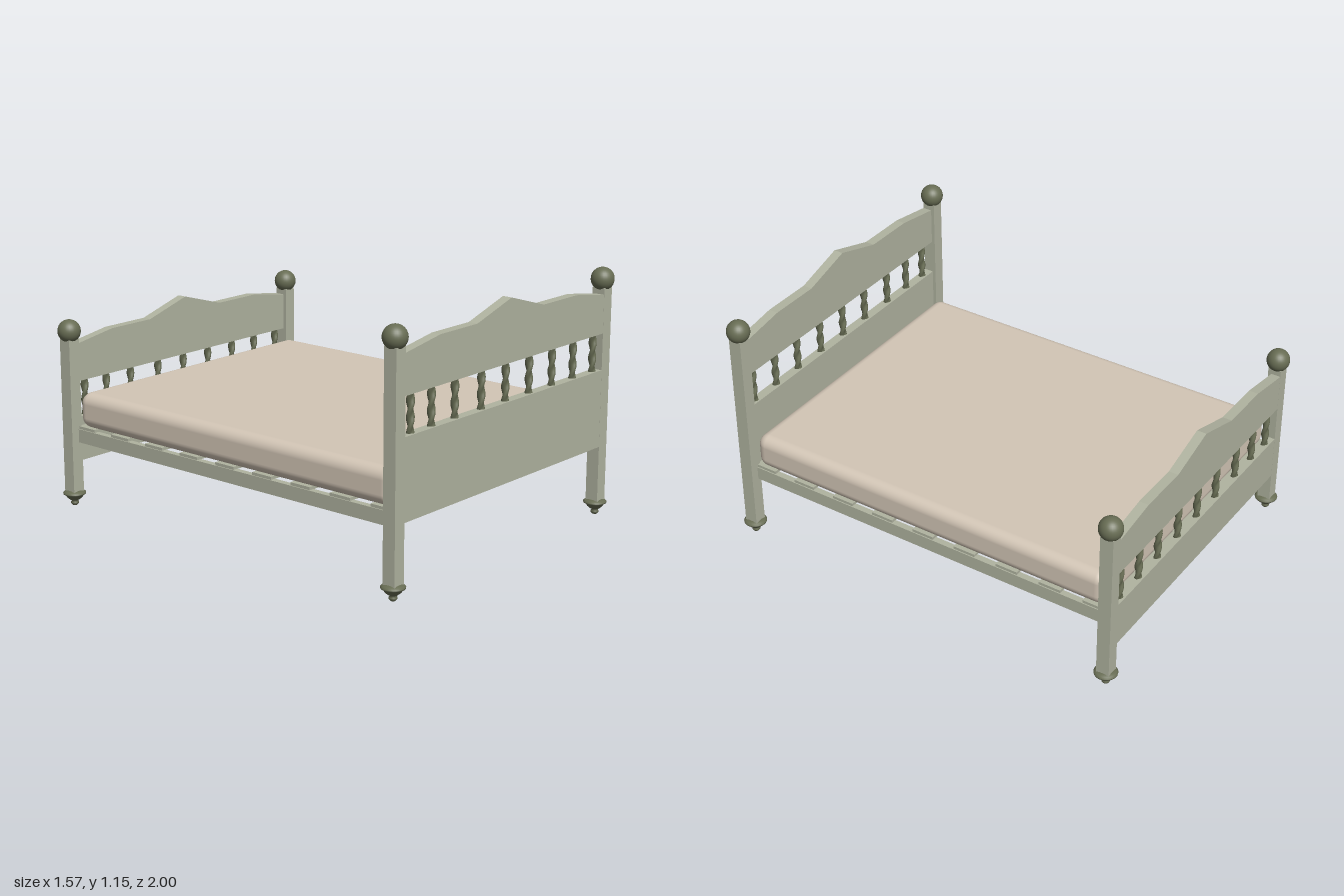
import * as THREE from 'three';
import { RoundedBoxGeometry } from 'three/addons/geometries/RoundedBoxGeometry.js';

export function createModel() {
  const bed = new THREE.Group();
  bed.name = 'bed';
  const paint = new THREE.MeshStandardMaterial({ color: 0xb0b3a0 });
  paint.name = 'sage paint';
  const dark = new THREE.MeshStandardMaterial({ color: 0x686d54 });
  dark.name = 'dark olive';
  const fabric = new THREE.MeshStandardMaterial({ color: 0xd3c6b6 });
  fabric.name = 'beige fabric';

  const add = (parent, name, geometry, material, x = 0, y = 0, z = 0) => {
    const mesh = new THREE.Mesh(geometry, material);
    mesh.name = name;
    mesh.position.set(x, y, z);
    parent.add(mesh);
    return mesh;
  };
  // Box given by its centre x and z and its bottom and top heights
  const box = (parent, name, w, d, y0, y1, x, z) =>
    add(parent, name, new THREE.BoxGeometry(w, y1 - y0, d), paint, x, (y0 + y1) / 2, z);

  // Twisted spindle: two lobes wound around a cylinder
  const spindleGeo = new THREE.CylinderGeometry(1, 1, 0.18, 16, 36, true);
  const p = spindleGeo.attributes.position;
  for (let i = 0; i < p.count; i++) {
    const a = Math.atan2(p.getZ(i), p.getX(i));
    const r = 0.0145 + 0.0035 * Math.cos(2 * a + p.getY(i) * 88);
    p.setXYZ(i, Math.cos(a) * r, p.getY(i), Math.sin(a) * r);
  }
  spindleGeo.computeVertexNormals();

  const ballGeo = new THREE.SphereGeometry(0.053, 28, 20);

  // Turned foot: small ball, flared cup and flange
  const footGeo = new THREE.LatheGeometry([
    [0, 0], [0.011, 0.002], [0.018, 0.010], [0.018, 0.017], [0.013, 0.024],
    [0.022, 0.028], [0.036, 0.040], [0.042, 0.052], [0.052, 0.056],
    [0.053, 0.062], [0.046, 0.068], [0.032, 0.074], [0, 0.074],
  ].map(([x, y]) => new THREE.Vector2(x, y)), 28);

  // Crested top rail outline, heights relative to the rail's bottom
  const crest = new THREE.Shape([
    [-0.71, 0], [0.71, 0], [0.71, 0.174], [0.48, 0.21], [0.235, 0.21],
    [0, 0.28], [-0.235, 0.21], [-0.48, 0.21], [-0.71, 0.174],
  ].map(([x, y]) => new THREE.Vector2(x, y)));
  const crestGeo = new THREE.ExtrudeGeometry(crest, { depth: 0.045, bevelEnabled: false });
  crestGeo.translate(0, 0, -0.0225);

  // One bed end: posts, feet, balls, crest, spindles and lower panel
  const makeEnd = (name, side, ballY, panelBottom) => {
    const end = new THREE.Group();
    end.name = name;
    const z = side * 0.947;
    const boardZ = side * 0.955;
    const railY = ballY - 0.24;
    const panelTop = railY - 0.168;
    for (const s of [-1, 1]) {
      const x = s * 0.73;
      box(end, 'post', 0.06, 0.062, 0.068, ballY - 0.035, x, z);
      add(end, 'postBall', ballGeo, dark, x, ballY, z);
      add(end, 'foot', footGeo, dark, x, 0, z);
    }
    add(end, 'crestRail', crestGeo, paint, 0, railY, boardZ);
    box(end, 'lowerPanel', 1.42, 0.045, panelBottom, panelTop, 0, boardZ);
    for (const x of [-0.64, -0.505, -0.35, -0.17, 0, 0.17, 0.34, 0.5, 0.655]) {
      add(end, 'spindle', spindleGeo, dark, x, (railY + panelTop) / 2, boardZ);
    }
    bed.add(end);
  };
  makeEnd('headboard', 1, 1.095, 0.33);
  makeEnd('footboard', -1, 0.827, 0.21);

  // Frame: side rails, end rails and slats
  const frame = new THREE.Group();
  frame.name = 'frame';
  for (const s of [-1, 1]) {
    box(frame, 'sideRail', 0.03, 1.84, 0.305, 0.368, s * 0.705, 0);
    box(frame, 'endRail', 1.4, 0.03, 0.305, 0.368, 0, s * 0.918);
  }
  for (let i = -4; i <= 4; i++) {
    box(frame, 'slat', 1.43, 0.108, 0.367, 0.381, 0, i * 0.217);
  }
  bed.add(frame);

  // Mattress
  add(bed, 'mattress', new RoundedBoxGeometry(1.435, 0.164, 1.835, 5, 0.05), fabric, 0, 0.458, 0);
  return bed;
}
